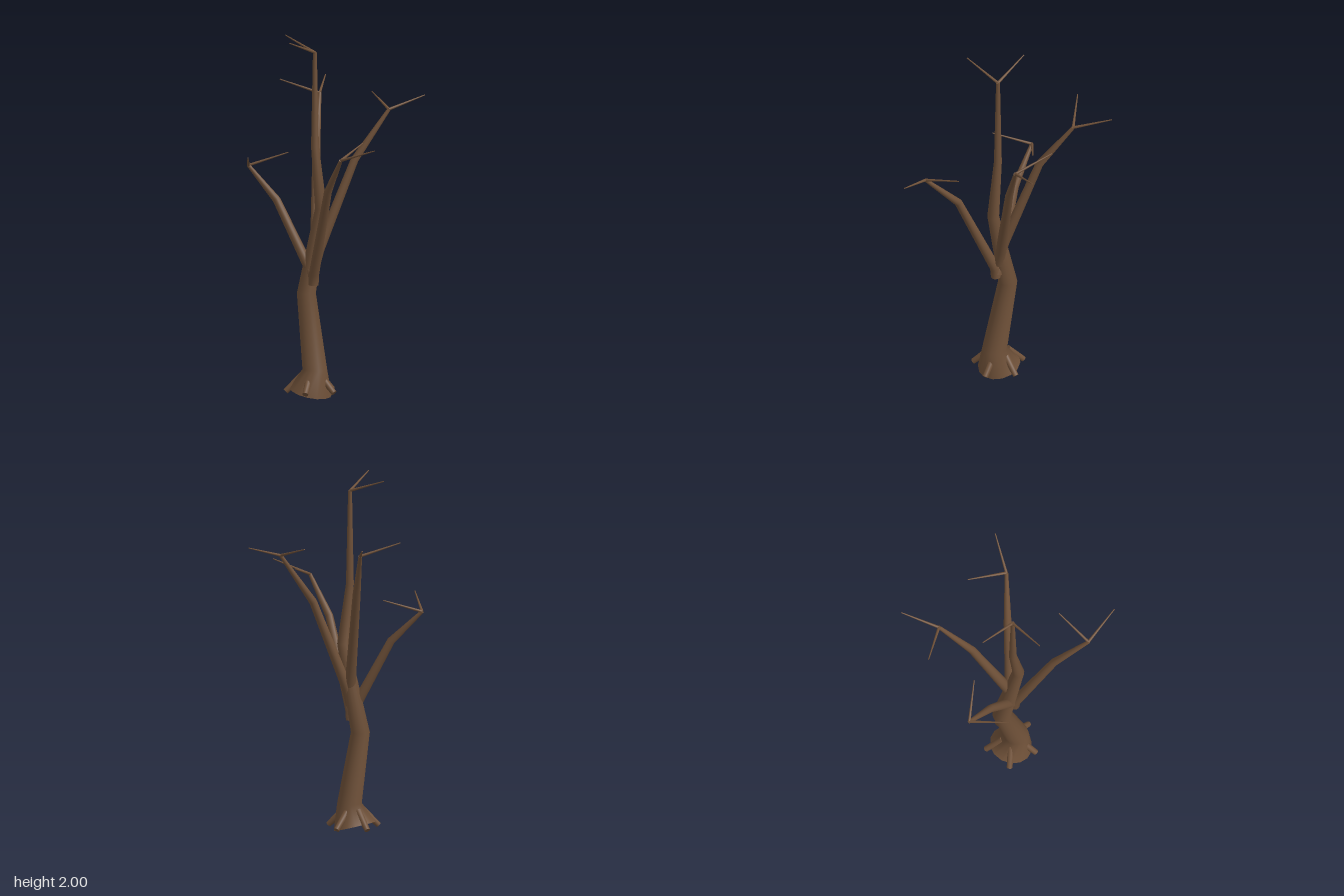
import * as THREE from 'three';

const SIDES = 14;

// Tapered limb through points [x, y, z, radius], mitred at each bend, with flat end caps
function limbGeometry(path) {
  const pts = path.map(p => new THREE.Vector3(p[0], p[1], p[2]));
  const dirs = pts.slice(1).map((p, i) => p.clone().sub(pts[i]).normalize());
  const pos = [], index = [];
  let u = null;
  pts.forEach((p, i) => {
    const t = new THREE.Vector3()
      .add(dirs[Math.max(i - 1, 0)])
      .add(dirs[Math.min(i, dirs.length - 1)])
      .normalize();
    if (!u) u = Math.abs(t.x) < 0.8 ? new THREE.Vector3(1, 0, 0) : new THREE.Vector3(0, 0, 1);
    u = u.clone().addScaledVector(t, -u.dot(t)).normalize();
    const v = new THREE.Vector3().crossVectors(t, u);
    for (let k = 0; k < SIDES; k++) {
      const a = (k / SIDES) * Math.PI * 2;
      const q = p.clone()
        .addScaledVector(u, Math.cos(a) * path[i][3])
        .addScaledVector(v, Math.sin(a) * path[i][3]);
      pos.push(q.x, q.y, q.z);
    }
  });
  for (let i = 0; i < pts.length - 1; i++) {
    for (let k = 0; k < SIDES; k++) {
      const a = i * SIDES + k, b = i * SIDES + (k + 1) % SIDES;
      index.push(a, b, b + SIDES, a, b + SIDES, a + SIDES);
    }
  }
  // caps use their own vertices so the rims stay sharp
  const last = (pts.length - 1) * SIDES;
  for (const [start, flip] of [[0, true], [last, false]]) {
    const base = pos.length / 3;
    pos.push(...pos.slice(start * 3, (start + SIDES) * 3));
    for (let k = 1; k < SIDES - 1; k++) {
      if (flip) index.push(base, base + k + 1, base + k);
      else index.push(base, base + k, base + k + 1);
    }
  }
  const g = new THREE.BufferGeometry();
  g.setAttribute('position', new THREE.Float32BufferAttribute(pos, 3));
  g.setIndex(index);
  g.computeVertexNormals();
  return g;
}

export function createModel() {
  const tree = new THREE.Group();
  tree.name = 'bareTree';
  const bark = new THREE.MeshStandardMaterial({ color: 0x6e5038 });
  bark.name = 'bark brown';

  const addLimb = (parent, name, path) => {
    const mesh = new THREE.Mesh(limbGeometry(path), bark);
    mesh.name = name;
    parent.add(mesh);
  };

  // each limb: its path, then the ends of the two twigs at its tip
  const limbs = [
    {
      name: 'trunk',
      path: [[-0.1, 0.035, 0.15, 0.12], [-0.065, 0.16, 0.15, 0.069], [-0.15, 0.575, 0.132, 0.053],
        [-0.035, 1.06, 0.132, 0.033], [-0.077, 1.4, 0.137, 0.022], [-0.078, 1.925, 0.137, 0.011]],
      twigs: [[-0.295, 2, 0.15], [-0.055, 2, 0.355]],
    },
    {
      name: 'frontLeftBranch',
      path: [[-0.075, 0.63, 0.15, 0.028], [-0.07, 0.69, 0.152, 0.029], [0.13, 1.18, 0.24, 0.022], [0.31, 1.38, 0.317, 0.01]],
      twigs: [[0.525, 1.45, 0.27], [0.265, 1.45, 0.105]],
    },
    {
      name: 'frontRightBranch',
      path: [[-0.08, 0.65, 0.14, 0.028], [-0.1, 0.7, 0.145, 0.029], [-0.295, 1.09, 0.22, 0.022], [-0.473, 1.268, 0.263, 0.01]],
      twigs: [[-0.32, 1.34, 0.105], [-0.32, 1.34, 0.418]],
    },
    {
      name: 'backRightBranch',
      path: [[-0.085, 0.78, 0.13, 0.03], [-0.1, 0.87, 0.11, 0.03], [-0.235, 1.39, -0.03, 0.022], [-0.355, 1.64, -0.172, 0.01]],
      twigs: [[-0.53, 1.712, -0.035], [-0.485, 1.712, -0.345]],
    },
    {
      name: 'backLeftBranch',
      path: [[-0.085, 0.72, 0.135, 0.029], [-0.075, 0.82, 0.11, 0.03], [0.035, 1.32, -0.06, 0.022], [0.145, 1.595, -0.217, 0.01]],
      twigs: [[-0.065, 1.665, -0.293], [0.22, 1.662, -0.42]],
    },
  ];
  for (const { name, path, twigs } of limbs) {
    const group = new THREE.Group();
    group.name = name;
    addLimb(group, name + 'Wood', path);
    const tip = path[path.length - 1];
    twigs.forEach((end, i) =>
      addLimb(group, `${name}Twig${i + 1}`, [[tip[0], tip[1], tip[2], 0.008], [...end, 0.003]]));
    tree.add(group);
  }

  // five stubby roots around the flared foot
  const roots = new THREE.Group();
  roots.name = 'roots';
  for (let i = 0; i < 5; i++) {
    const a = THREE.MathUtils.degToRad(-85 + i * 72);
    const at = (d, y, r) => [-0.093 + Math.cos(a) * d, y, 0.145 + Math.sin(a) * d, r];
    addLimb(roots, `root${i + 1}`, [at(0.05, 0.13, 0.02), at(0.145, 0.036, 0.016)]);
  }
  tree.add(roots);

  return tree;
}
